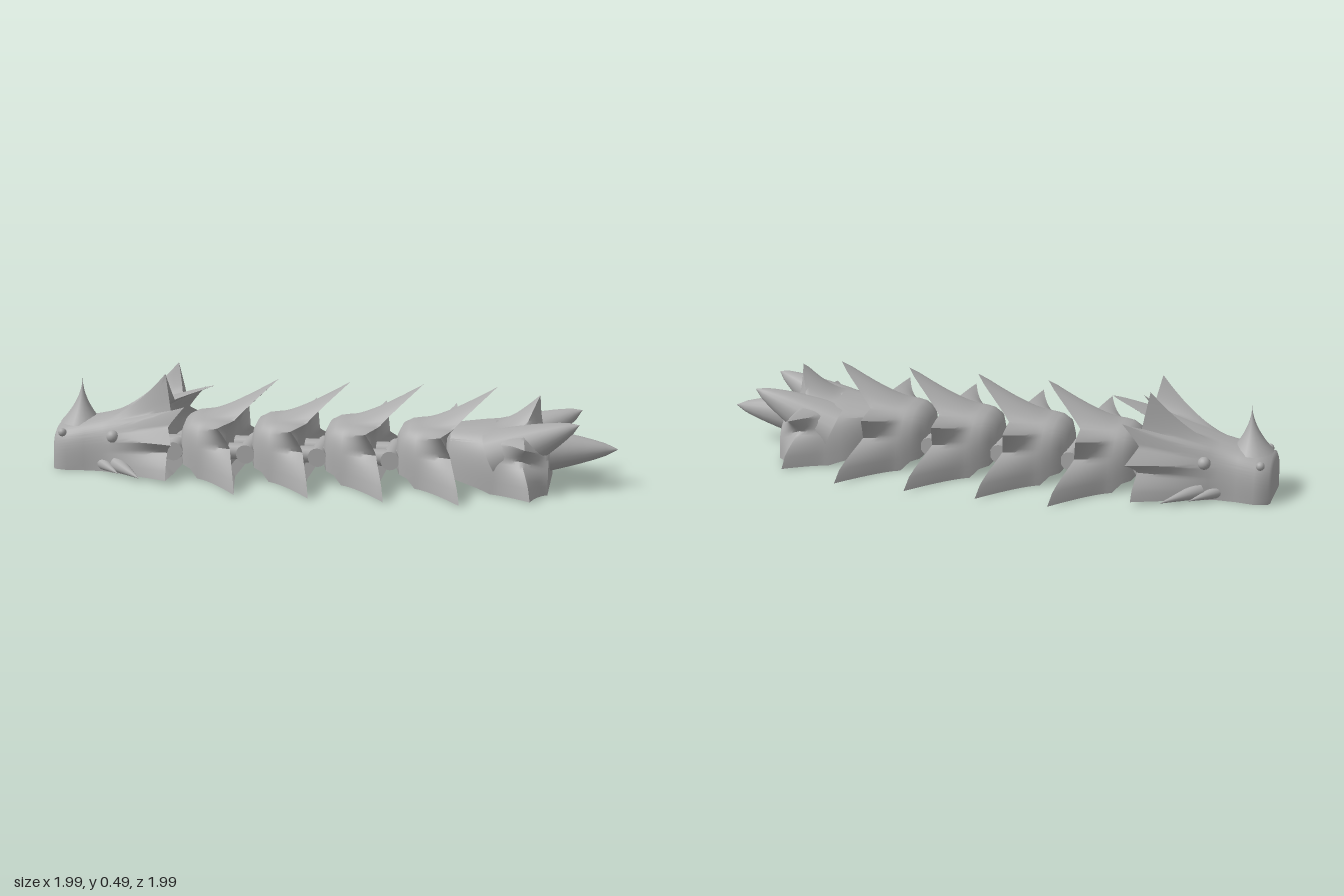
import * as THREE from 'three';
import { toCreasedNormals } from 'three/addons/utils/BufferGeometryUtils.js';

const V = (x, y, z) => new THREE.Vector3(x, y, z);

// Point on a flat-bottomed arch; m runs 0 (top) - 1 (lower edge) - 2 (middle of the underside)
function arch([z, w, h, y0 = 0], m) {
  if (m > 1) return V(w * (2 - m), y0, z);
  const f = m * Math.PI / 2;
  return V(w * Math.sin(f) ** 0.7, y0 + (h - y0) * Math.max(0, Math.cos(f)) ** 0.6, z);
}

// Hollow-backed shell: arches lofted from the front to a rim drawn out into swept spikes.
// Arches are [z, half width, height, base]; tips run from the top centre down one side.
function spikyShell(lead, rim, tips, inner) {
  const n = tips.length - 1, per = n * 12, pos = [], idx = [];
  const M = per * 4;

  const spikeOffset = (m) => {
    const k = Math.min(n, Math.round(m * n));
    const d = m > 1 ? (m - 1) * 2 : Math.abs(m * n - k) * 2;
    const w = Math.max(0, 1 - d) ** 1.2;
    return tips[k].clone().sub(arch(rim, k / n)).multiplyScalar(w);
  };
  const addRing = (fn) => {
    for (let j = 0; j < M; j++) {
      const a = -2 + 4 * j / M, p = fn(Math.abs(a));
      pos.push(Math.sign(a) * p.x, Math.max(0, p.y), p.z);
    }
  };
  const addCentre = ([z, , h, y0 = 0]) => addRing(() => V(0, (h + y0) / 2, z));
  const blend = (from, t) => addRing((m) =>
    arch(from, m).lerp(arch(rim, m), t).addScaledVector(spikeOffset(m), t ** 1.7));

  addCentre(lead[0]);
  lead.forEach((a) => addRing((m) => arch(a, m)));
  for (let i = 1; i <= 9; i++) blend(lead[lead.length - 1], i / 9);
  for (let i = 7; i >= 0; i--) blend(inner, i / 8);
  addCentre(inner);

  const rows = pos.length / 3 / M;
  for (let r = 0; r < rows - 1; r++) {
    for (let j = 0; j < M; j++) {
      const a = r * M + j, b = r * M + (j + 1) % M;
      idx.push(a, b, a + M, b, b + M, a + M);
    }
  }
  const g = new THREE.BufferGeometry();
  g.setAttribute('position', new THREE.Float32BufferAttribute(pos, 3));
  g.setIndex(idx);
  return toCreasedNormals(g, 0.9);
}

export function createModel() {
  const stone = new THREE.MeshStandardMaterial({ color: 0xaaaaaa, side: THREE.DoubleSide });
  stone.name = 'stone grey';
  const model = new THREE.Group();
  model.name = 'articulatedDragon';
  const body = new THREE.Group();
  body.name = 'body';
  body.rotation.y = -Math.PI / 4; // lies along the diagonal
  model.add(body);

  const add = (geo, name, parent) => {
    const m = new THREE.Mesh(geo, stone);
    m.name = name;
    parent.add(m);
    return m;
  };

  // Tapered horn between two points; power above 1 gives a slender tip, below 1 a full one
  const spike = (from, to, r, name, power, parent) => {
    const pts = [];
    for (let i = 0; i <= 10; i++) pts.push(new THREE.Vector2(r * (1 - i / 10) ** power, i / 10));
    const dir = to.clone().sub(from), m = add(new THREE.LatheGeometry(pts, 18), name, parent);
    m.position.copy(from);
    m.scale.y = dir.length();
    m.quaternion.setFromUnitVectors(V(0, 1, 0), dir.normalize());
  };
  const rod = (from, to, r, name, parent) => {
    const m = add(new THREE.CylinderGeometry(r, r, from.distanceTo(to), 16), name, parent);
    m.position.copy(from).lerp(to, 0.5);
    m.quaternion.setFromUnitVectors(V(0, 1, 0), to.clone().sub(from).normalize());
  };
  const ball = (p, r, name, parent) =>
    add(new THREE.SphereGeometry(r, 16, 12), name, parent).position.copy(p);

  // Head with a frill of swept spikes
  const head = new THREE.Group();
  head.name = 'head';
  body.add(head);
  add(spikyShell(
    [[1.275, 0.12, 0.18], [1.265, 0.14, 0.2], [1.2, 0.155, 0.22], [1.12, 0.145, 0.235], [1.03, 0.145, 0.255]],
    [0.68, 0.25, 0.355],
    [V(0, 0.41, 0.5), V(0.134, 0.487, 0.71), V(0.22, 0.35, 0.6), V(0.33, 0.19, 0.64), V(0.335, 0.02, 0.67)],
    [0.74, 0.19, 0.3, 0.04]), 'skull', head);
  spike(V(0, 0.205, 1.165), V(0, 0.425, 1.155), 0.1, 'noseHorn', 1.9, head);
  for (const s of [-1, 1]) {
    ball(V(s * 0.13, 0.18, 1.225), 0.02, 'nostril', head);
    ball(V(s * 0.15, 0.175, 0.97), 0.03, 'eye', head);
    spike(V(s * 0.11, 0.035, 1.04), V(s * 0.25, 0.02, 0.92), 0.035, 'jawSpike', 1, head);
    spike(V(s * 0.15, 0.04, 0.95), V(s * 0.315, 0.02, 0.8), 0.04, 'jawSpike', 1, head);
  }

  // Four identical body segments, the collar raised off the ground
  const segmentShell = spikyShell(
    [[0.65, 0.09, 0.22, 0.07], [0.63, 0.14, 0.26, 0.05], [0.59, 0.17, 0.28, 0.04], [0.55, 0.195, 0.285]],
    [0.38, 0.25, 0.287],
    [V(0, 0.455, 0.19), V(0.35, 0.287, 0.415), V(0.46, 0.005, 0.315)],
    [0.42, 0.17, 0.23, 0.03]);
  for (let i = 0; i < 4; i++) {
    const seg = new THREE.Group();
    seg.name = 'segment' + (i + 1);
    seg.position.z = -0.345 * i;
    body.add(seg);
    add(segmentShell, 'segmentShell', seg);
    // Hinge: two arms with a cross pin reaching the next segment
    for (const s of [-1, 1]) rod(V(s * 0.07, 0.11, 0.46), V(s * 0.07, 0.11, 0.28), 0.04, 'hingeArm', seg);
    rod(V(-0.13, 0.11, 0.33), V(0.13, 0.11, 0.33), 0.045, 'hingePin', seg);
  }
  rod(V(0, 0.11, 0.8), V(0, 0.11, 0.6), 0.05, 'neckPeg', body);
  rod(V(-0.13, 0.11, 0.68), V(0.13, 0.11, 0.68), 0.045, 'neckPin', body);

  // Tail with a fan of large spikes
  const tail = new THREE.Group();
  tail.name = 'tail';
  body.add(tail);
  add(spikyShell(
    [[-0.62, 0.1, 0.23, 0.06], [-0.64, 0.15, 0.27, 0.05], [-0.78, 0.21, 0.285, 0.02], [-0.84, 0.23, 0.29]],
    [-0.98, 0.25, 0.29],
    [V(0, 0.425, -1.045), V(0.33, 0.24, -1.0), V(0.35, 0.005, -1.03)],
    [-1.1, 0.2, 0.2]), 'tailShell', tail);
  spike(V(0, 0.15, -0.85), V(0, 0.18, -1.41), 0.145, 'tailTip', 0.7, tail);
  for (const s of [-1, 1]) {
    spike(V(s * 0.1, 0.145, -0.85), V(s * 0.15, 0.325, -1.235), 0.135, 'tailSpike', 0.7, tail);
  }
  return model;
}
